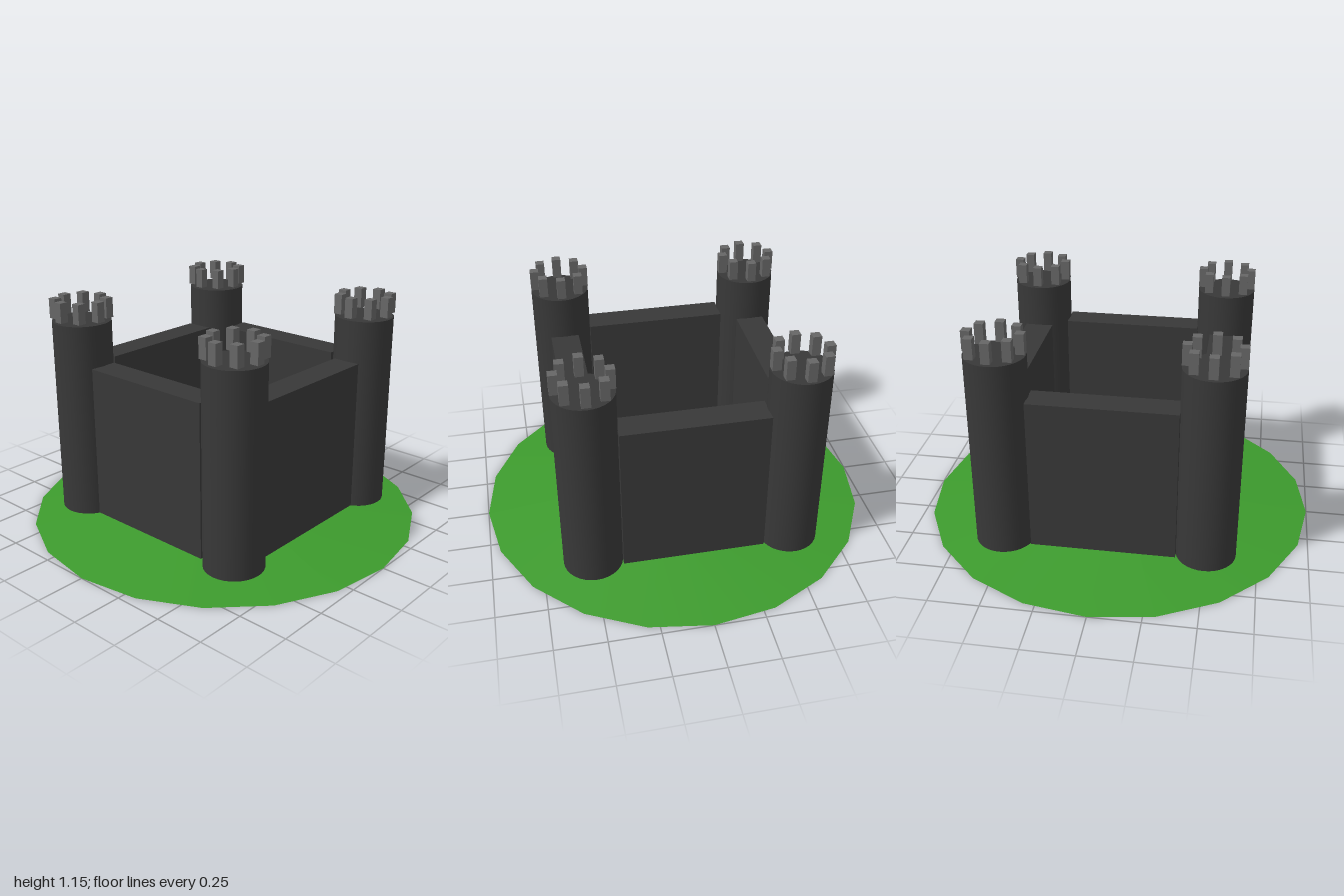
import * as THREE from 'three';

const paint = (color) => new THREE.MeshStandardMaterial({ color });

export function createModel() {
  const root = new THREE.Group();
  root.name = 'castle';
  const stone = paint(0x383838);
  const paleStone = paint(0x666666);
  const grass = paint(0x3d9b2d);

  const add = (parent, name, geometry, material, x, y, z) => {
    const mesh = new THREE.Mesh(geometry, material);
    mesh.name = name;
    mesh.position.set(x, y, z);
    parent.add(mesh);
    return mesh;
  };

  // Shallow hill with a twenty-sided rim
  const hillHeight = 0.1;
  add(root, 'hill', new THREE.ConeGeometry(1, hillHeight, 20), grass, 0, hillHeight / 2, 0);

  // Corner towers, each crowned by a ring of square merlons
  const towerGeo = new THREE.CylinderGeometry(0.147, 0.147, 1, 32);
  const merlonGeo = new THREE.BoxGeometry(0.043, 0.1, 0.043);
  for (const x of [-0.5, 0.5]) {
    for (const z of [-0.5, 0.5]) {
      const tower = new THREE.Group();
      tower.name = (z > 0 ? 'front' : 'back') + (x > 0 ? 'Left' : 'Right') + 'Tower';
      tower.position.set(x, 0, z);
      add(tower, 'towerShaft', towerGeo, stone, 0, 0.545, 0);
      for (let i = 0; i < 8; i++) {
        const a = (i * Math.PI) / 4;
        add(tower, 'merlon', merlonGeo, paleStone, 0.125 * Math.cos(a), 1.105, 0.125 * Math.sin(a));
      }
      root.add(tower);
    }
  }

  // Curtain walls between the towers
  const wallGeo = new THREE.BoxGeometry(0.714, 0.78, 0.143);
  ['front', 'left', 'back', 'right'].forEach((side, i) => {
    const a = (i * Math.PI) / 2;
    const wall = add(root, side + 'Wall', wallGeo, stone, 0.5 * Math.sin(a), 0.443, 0.5 * Math.cos(a));
    wall.rotation.y = a;
  });

  return root;
}
